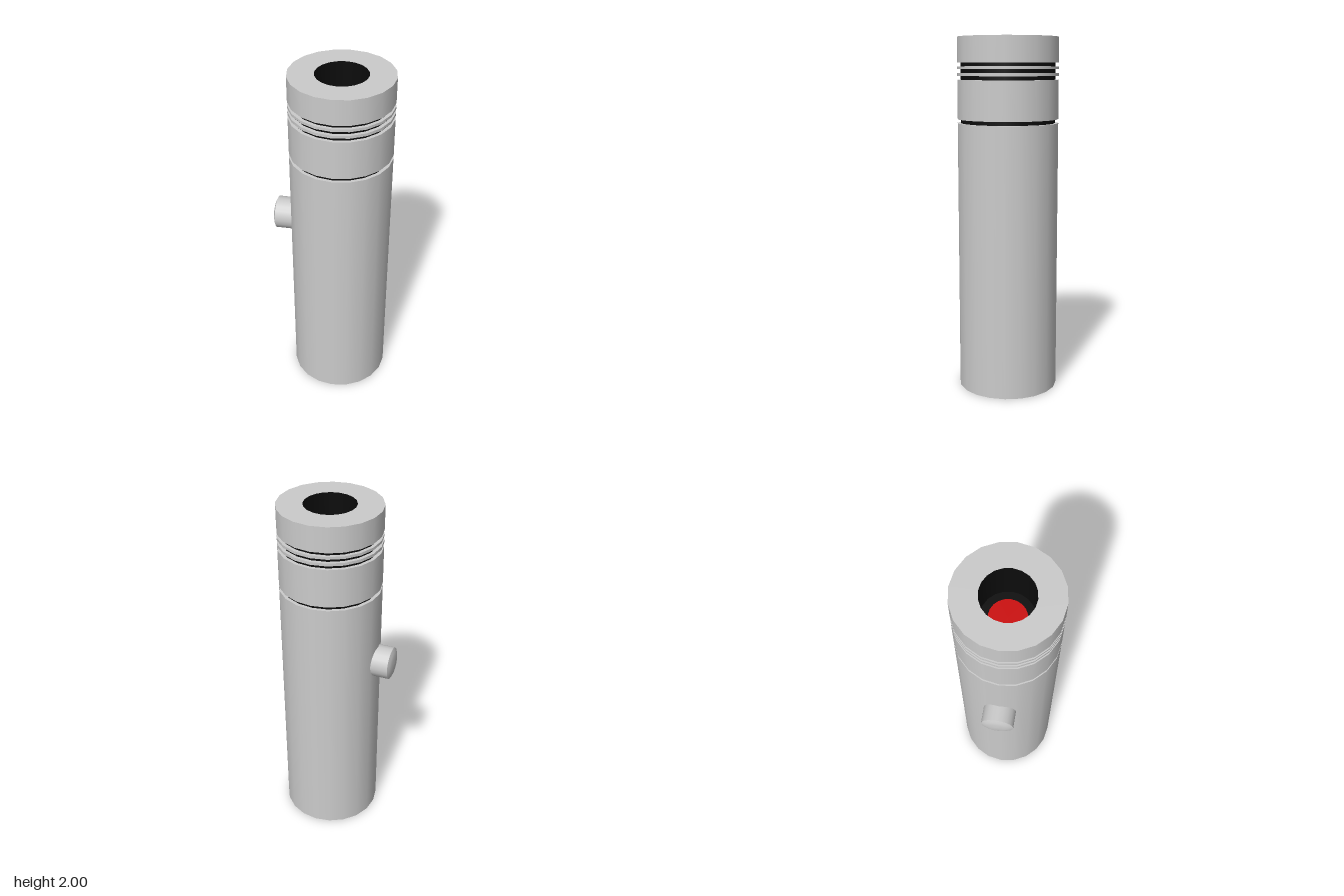
import * as THREE from 'three';
import { mergeGeometries } from 'three/addons/utils/BufferGeometryUtils.js';

const SIDES = 20, R = 0.283, GROOVE_R = 0.264, BORE_R = 0.142, LENS_R = 0.101;
const BORE_FLOOR = 1.75;

const grey = new THREE.MeshStandardMaterial({ color: 0xcccccc });
const black = new THREE.MeshStandardMaterial({ color: 0x0c0c0c });
const red = new THREE.MeshStandardMaterial({ color: 0xcc0c0c });

// Turned part: each profile segment is its own lathe, so the corners stay sharp
function turned(name, profile, material) {
  const pts = profile.map(([r, y]) => new THREE.Vector2(r, y));
  const bands = pts.slice(1).map((p, i) => new THREE.LatheGeometry([pts[i], p], SIDES));
  const mesh = new THREE.Mesh(mergeGeometries(bands), material);
  mesh.name = name;
  return mesh;
}

// Closed ring or disc-ended cylinder between two heights
const band = (name, y0, y1) =>
  turned(name, [[0, y0], [R, y0], [R, y1], [BORE_R, y1]], grey);

export function createModel() {
  const model = new THREE.Group();
  model.name = 'handle';

  // Round grip, neck and thin rings, separated by grooves
  const barrel = new THREE.Group();
  barrel.name = 'barrel';
  barrel.position.x = 0.05;
  barrel.add(
    band('grip', 0, 1.528),
    band('neck', 1.55, 1.767),
    turned('lowerRing', [[GROOVE_R, 1.788], [R, 1.788], [R, 1.804], [GROOVE_R, 1.804]], grey),
    turned('upperRing', [[GROOVE_R, 1.825], [R, 1.825], [R, 1.84], [GROOVE_R, 1.84]], grey),
    turned('collar', [[GROOVE_R, 1.86], [R, 1.86], [R, 2], [BORE_R, 2]], grey),
  );

  // Black core showing in the grooves
  barrel.add(turned('lowerGroove', [[GROOVE_R, 1.528], [GROOVE_R, 1.55]], black));
  barrel.add(turned('upperGrooves', [[GROOVE_R, 1.767], [GROOVE_R, 1.86]], black));

  // Black bore with a red disc on its floor
  barrel.add(
    turned('bore', [[BORE_R, 2], [BORE_R, BORE_FLOOR], [LENS_R, BORE_FLOOR]], black),
    turned('lens', [[LENS_R, BORE_FLOOR], [0, BORE_FLOOR]], red),
  );
  // Keep the neck top clear of the bore
  barrel.getObjectByName('neck').geometry =
    turned('', [[0, 1.55], [R, 1.55], [R, 1.767], [GROOVE_R, 1.767]], grey).geometry;
  model.add(barrel);

  // Push button on the right side, with a shallow domed face
  const button = new THREE.Group();
  button.name = 'button';
  const dome = new THREE.Mesh(new THREE.LatheGeometry(
    [[0.091, 0.316], [0.07, 0.325], [0.045, 0.331], [0, 0.333]]
      .map(([r, y]) => new THREE.Vector2(r, y)), SIDES), grey);
  dome.name = 'buttonFace';
  button.add(turned('buttonStem', [[0.091, 0.2], [0.091, 0.316]], grey), dome);
  button.rotation.z = Math.PI / 2;
  button.position.y = 1.095;
  model.add(button);

  return model;
}
